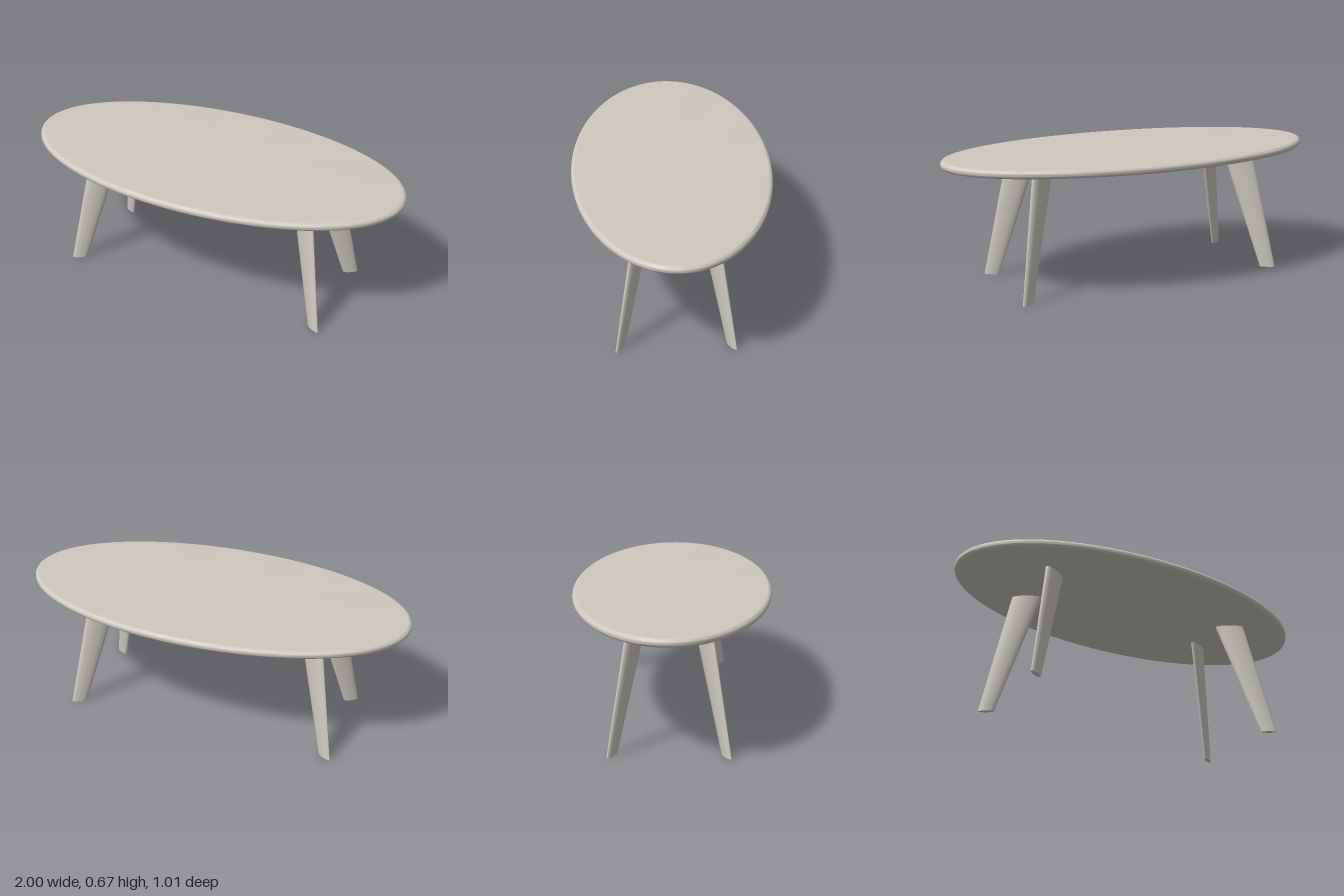
import * as THREE from 'three';
import { mergeVertices, toCreasedNormals } from 'three/addons/utils/BufferGeometryUtils.js';

const HALF_LENGTH = 1, HALF_WIDTH = 0.505;
const BOTTOM = 0.63, TOP = 0.67;
const LEG_TOP = 0.635, LEG_ANGLE = THREE.MathUtils.degToRad(32.5);

// Weld the seam and smooth everything except sharp edges
function smooth(geometry) {
  geometry.deleteAttribute('uv');
  geometry.deleteAttribute('normal');
  return toCreasedNormals(mergeVertices(geometry), 0.6);
}

// Elliptical slab with an evenly rounded rim
function tabletopGeometry() {
  const profile = [new THREE.Vector2(0, BOTTOM), new THREE.Vector2(HALF_LENGTH - 0.025, BOTTOM)];
  const radius = (TOP - BOTTOM) / 2;
  for (let i = 0; i <= 12; i++) {
    const a = -Math.PI / 2 + (Math.PI * i) / 12;
    profile.push(new THREE.Vector2(HALF_LENGTH - radius + radius * Math.cos(a), BOTTOM + radius + radius * Math.sin(a)));
  }
  profile.push(new THREE.Vector2(HALF_LENGTH - 0.025, TOP), new THREE.Vector2(0, TOP));

  const geometry = new THREE.LatheGeometry(profile, 96);
  const p = geometry.attributes.position;
  for (let i = 0; i < p.count; i++) {
    // Narrow the circle to an ellipse while keeping the rim width constant
    const r = Math.hypot(p.getX(i), p.getZ(i));
    if (r > 0.5) p.setZ(i, (p.getZ(i) / r) * (r - HALF_LENGTH + HALF_WIDTH));
  }
  return smooth(geometry);
}

// Tapered, splayed leg with a flat oval section turned towards the corner
function legGeometry(sx, sz) {
  const geometry = new THREE.CylinderGeometry(1, 1, 1, 32);
  const p = geometry.attributes.position;
  const angle = LEG_ANGLE * sx * sz;
  const c = Math.cos(angle), s = Math.sin(angle);
  const { lerp } = THREE.MathUtils;
  for (let i = 0; i < p.count; i++) {
    const t = p.getY(i) + 0.5;
    const u = p.getX(i) * lerp(0.04, 0.077, t);
    const v = p.getZ(i) * lerp(0.012, 0.023, t);
    p.setXYZ(i,
      sx * lerp(0.686, 0.549, t) + u * c - v * s,
      t * LEG_TOP,
      sz * lerp(0.269, 0.149, t) + u * s + v * c);
  }
  return smooth(geometry);
}

export function createModel() {
  const model = new THREE.Group();
  model.name = 'ovalTable';
  const paint = new THREE.MeshStandardMaterial({ color: 0xcdc9bf });
  paint.name = 'warmGrey';

  const add = (name, geometry) => {
    const mesh = new THREE.Mesh(geometry, paint);
    mesh.name = name;
    model.add(mesh);
  };

  add('tabletop', tabletopGeometry());
  for (const sx of [1, -1]) {
    for (const sz of [1, -1]) {
      add((sz > 0 ? 'front' : 'back') + (sx > 0 ? 'Left' : 'Right') + 'Leg', legGeometry(sx, sz));
    }
  }
  return model;
}
